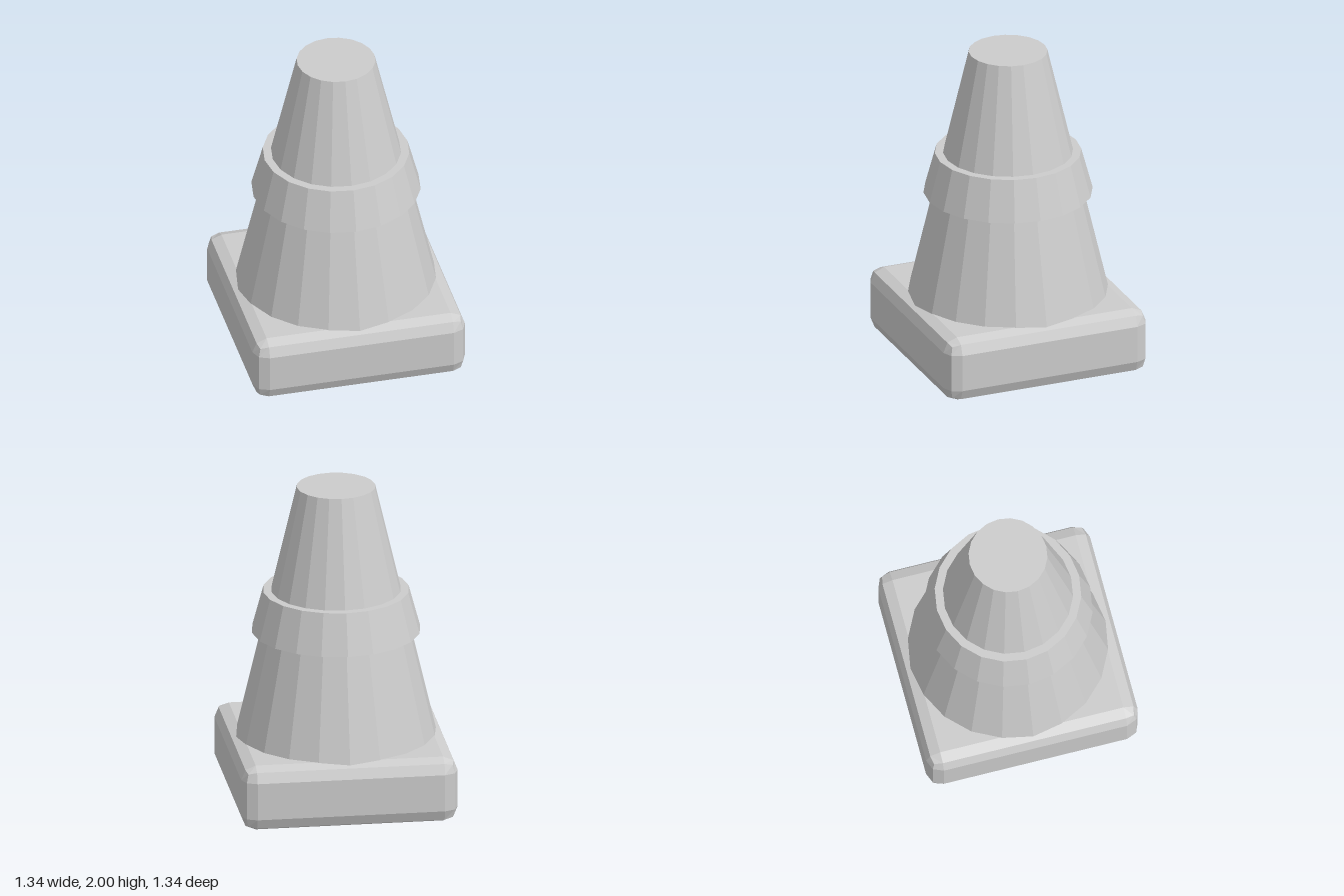
import * as THREE from 'three';
import { RoundedBoxGeometry } from 'three/addons/geometries/RoundedBoxGeometry.js';

const SIDES = 20;

export function createModel() {
  const model = new THREE.Group();
  model.name = 'trafficCone';
  const grey = new THREE.MeshStandardMaterial({ color: 0xcccccc });
  grey.name = 'light grey';

  // Adds a faceted part, with one normal per face
  function addPart(name, geometry, y) {
    const flat = geometry.index ? geometry.toNonIndexed() : geometry;
    flat.computeVertexNormals();
    const mesh = new THREE.Mesh(flat, grey);
    mesh.name = name;
    mesh.position.y = y;
    model.add(mesh);
  }

  // Closed tapered cylinder between two heights
  function addTaper(name, topRadius, bottomRadius, bottom, top) {
    const geometry = new THREE.CylinderGeometry(topRadius, bottomRadius, top - bottom, SIDES);
    addPart(name, geometry, (top + bottom) / 2);
  }

  // Square base with bevelled edges
  addPart('base', new RoundedBoxGeometry(1.34, 0.415, 1.34, 1, 0.09), 0.2075);

  // Cone body, sunk slightly into the base
  addTaper('coneBody', 0.242, 0.627, 0.36, 2);

  // Raised collar around the middle
  addTaper('collar', 0.45, 0.52, 1.07, 1.33);

  return model;
}
